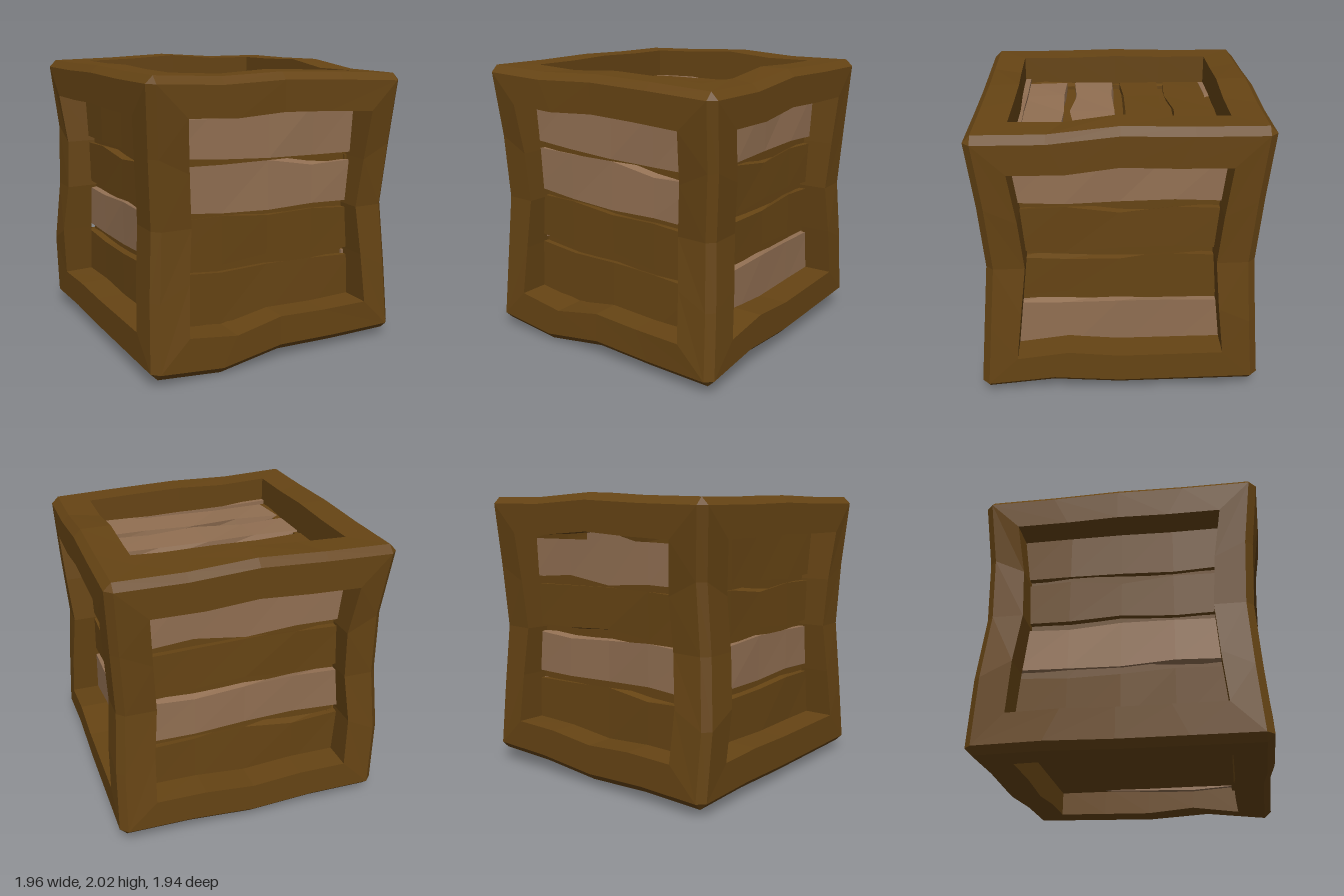
import * as THREE from 'three';

const OUT = 0.97, BEV = 0.92, INN = 0.71, DEEP = 0.74, FACE = 0.76;
const dark = new THREE.MeshStandardMaterial({ color: 0x664414, flatShading: true });
const light = new THREE.MeshStandardMaterial({ color: 0x916f52, flatShading: true });

// Bends of the twelve beams at 1/4, 1/2 and 3/4 of their length.
// Key: axis, then signs of the next two axes (cyclic x, y, z); each pair is an offset along those axes.
const BENDS = {
  'x++': [[-0.01, 0], [0.015, -0.015], [0.01, -0.01]],
  'x+-': [[0.01, 0], [0.03, 0], [0, 0]],
  'x-+': [[-0.05, 0], [0.015, -0.015], [0, -0.01]],
  'x--': [[0, 0], [-0.03, 0], [0, 0]],
  'y++': [[-0.04, -0.02], [-0.08, -0.05], [-0.05, -0.02]],
  'y+-': [[-0.04, 0.02], [-0.07, 0.05], [-0.05, 0.03]],
  'y-+': [[0.04, -0.01], [0.07, -0.04], [0.04, -0.02]],
  'y--': [[0.03, -0.02], [0.07, 0.02], [0.05, 0.04]],
  'z++': [[0, 0.01], [0, 0.03], [0, -0.01]],
  'z+-': [[0, 0], [0, 0], [0, 0.04]],
  'z-+': [[0, 0], [0, 0.01], [0, 0]],
  'z--': [[0, 0.01], [0, 0], [0, 0]],
};

// Lowers the front left top corner, lifts the back left bottom one, and moves y = 0 to the ground
function warp([x, y, z]) {
  const k = (s, c) => Math.max(0, (1 + (s * c) / OUT) / 2);
  const dy = -0.05 * k(1, x) * k(1, y) * k(1, z) + 0.045 * k(1, x) * k(-1, y) * k(-1, z);
  return [x, y + dy + 1, z];
}

function buildFrame() {
  const pos = [];
  const tri = (a, b, c, flip) => pos.push(...a, ...(flip ? c : b), ...(flip ? b : c));

  // Cross-section of a beam: [u, v, half length at that line]
  const section = [
    [INN, DEEP, INN], [INN, OUT, INN], [BEV, OUT, BEV],
    [OUT, BEV, BEV], [OUT, INN, INN], [DEEP, INN, INN],
  ];
  for (let w = 0; w < 3; w++) for (const su of [1, -1]) for (const sv of [1, -1]) {
    const key = 'xyz'[w] + (su > 0 ? '+' : '-') + (sv > 0 ? '+' : '-');
    const bend = [[0, 0], ...BENDS[key], [0, 0]];
    const rings = bend.map(([du, dv], i) => section.map(([u, v, half]) => {
      const p = [0, 0, 0];
      p[w] = half * (i / 2 - 1);
      p[(w + 1) % 3] = su * u + du;
      p[(w + 2) % 3] = sv * v + dv;
      return warp(p);
    }));
    const flip = su * sv < 0;
    for (let i = 0; i < 4; i++) for (let j = 0; j < 5; j++) {
      const a = rings[i][j], b = rings[i + 1][j], c = rings[i + 1][j + 1], d = rings[i][j + 1];
      tri(a, b, c, flip);
      tri(a, c, d, flip);
    }
  }
  // Cut-off corners
  for (const x of [1, -1]) for (const y of [1, -1]) for (const z of [1, -1]) {
    tri(warp([x * OUT, y * BEV, z * BEV]), warp([x * BEV, y * OUT, z * BEV]),
      warp([x * BEV, y * BEV, z * OUT]), x * y * z < 0);
  }
  const g = new THREE.BufferGeometry();
  g.setAttribute('position', new THREE.Float32BufferAttribute(pos, 3));
  g.computeVertexNormals();
  const mesh = new THREE.Mesh(g, dark);
  mesh.name = 'frame';
  return mesh;
}

// Repeatable value in -1..1 for a point
function noise(x, y, z, seed) {
  const s = Math.sin(x * 12.99 + y * 78.23 + z * 37.72 + seed * 4.17) * 43758.55;
  return 2 * (s - Math.floor(s)) - 1;
}

// One rough board facing +z, its long edges nicked at the inner stations
function plank(y0, y1, slant, material, seed) {
  const g = new THREE.BoxGeometry(1.46, y1 - y0, 0.09, 4, 1, 1);
  g.translate(0, (y0 + y1) / 2, FACE - 0.045);
  const p = g.attributes.position;
  for (let i = 0; i < p.count; i++) {
    const x = p.getX(i), y = p.getY(i), z = p.getZ(i);
    const inner = Math.abs(x) < 0.7 ? 1 : 0;
    p.setY(i, y + slant * x + inner * 0.028 * noise(x, y, z, seed));
    p.setZ(i, z + inner * 0.008 * noise(y, z, x, seed));
  }
  g.computeVertexNormals();
  const mesh = new THREE.Mesh(g, material);
  mesh.name = 'plank';
  return mesh;
}

const ROWS = [[0.39, 0.76], [0.035, 0.335], [-0.32, -0.02], [-0.76, -0.38]];

export function createModel() {
  const model = new THREE.Group();
  model.name = 'crate';
  model.add(buildFrame());

  // Planked walls: name, rotation x, rotation y, slant, tone of each row (1 = light)
  const walls = [
    ['frontWall', 0, 0, -0.045, [1, 1, 0, 0]],
    ['leftWall', 0, Math.PI / 2, 0, [1, 0, 0, 1]],
    ['backWall', 0, Math.PI, 0, [1, 0, 1, 0]],
    ['rightWall', 0, -Math.PI / 2, 0, [0, 0, 1, 0]],
    ['lid', -Math.PI / 2, 0, 0, [0, 0, 1, 1]],
  ];
  walls.forEach(([name, rx, ry, slant, tones], n) => {
    const wall = new THREE.Group();
    wall.name = name;
    ROWS.forEach(([y0, y1], i) =>
      wall.add(plank(y0, y1, slant, tones[i] ? light : dark, n * 4 + i)));
    wall.rotation.set(rx, ry, 0);
    wall.position.y = 1;
    model.add(wall);
  });

  // Backing behind the gaps, and the plain recessed floor
  const core = new THREE.Mesh(new THREE.BoxGeometry(1.43, 1.43, 1.43), dark);
  core.name = 'backing';
  core.position.y = 1;
  const floor = new THREE.Mesh(new THREE.BoxGeometry(1.48, 0.06, 1.48), dark);
  floor.name = 'floor';
  floor.position.y = 0.27;
  model.add(core, floor);
  return model;
}
